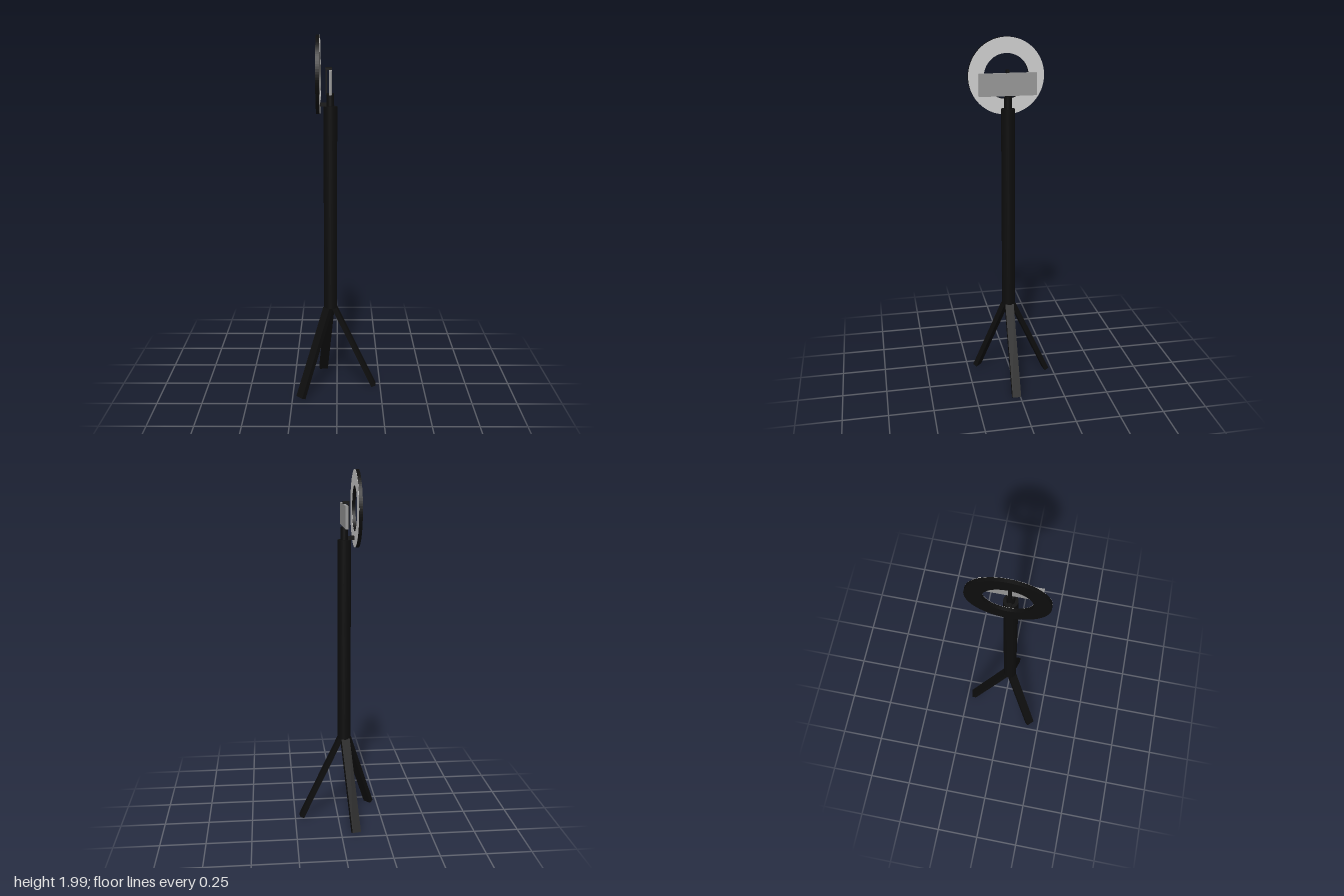
import * as THREE from 'three';

const AXIS_X = -0.036, AXIS_Z = 0.024;

export function createModel() {
  const model = new THREE.Group();
  const black = new THREE.MeshStandardMaterial({ color: 0x0d0d0d });
  const grey = new THREE.MeshStandardMaterial({ color: 0x959595 });
  const light = new THREE.MeshStandardMaterial({ color: 0xcccccc });

  const add = (name, geometry, material, x, y, z) => {
    const mesh = new THREE.Mesh(geometry, material);
    mesh.name = name;
    mesh.position.set(x, y, z);
    model.add(mesh);
    return mesh;
  };
  // Box given by its x and y extents, centred on the pole in z
  const box = (name, x0, x1, y0, y1, depth, material) =>
    add(name, new THREE.BoxGeometry(x1 - x0, y1 - y0, depth), material,
      (x0 + x1) / 2, (y0 + y1) / 2, AXIS_Z);

  // Pole and its thinner extension
  add('pole', new THREE.CylinderGeometry(0.037, 0.037, 1.133, 32), black, AXIS_X, 1.0635, AXIS_Z);
  add('poleExtension', new THREE.CylinderGeometry(0.021, 0.021, 0.1, 32), black, AXIS_X, 1.648, AXIS_Z);

  // Three flat legs, each from the pole's foot to its own point on the floor
  const up = new THREE.Vector3(0, 1, 0);
  const feet = [[0.212, 0.024], [-0.203, 0.19], [-0.083, -0.211]];
  for (const [fx, fz] of feet) {
    const out = new THREE.Vector3(fx - AXIS_X, 0, fz - AXIS_Z).normalize();
    const top = new THREE.Vector3(AXIS_X, 0.495, AXIS_Z).addScaledVector(out, 0.022);
    const foot = new THREE.Vector3(fx, 0.017, fz);
    const along = top.clone().sub(foot);
    const mid = top.clone().add(foot).multiplyScalar(0.5);
    const leg = add('leg', new THREE.BoxGeometry(0.027, along.length(), 0.049), black, mid.x, mid.y, mid.z);
    const y = along.normalize();
    const z = new THREE.Vector3().crossVectors(out, up).normalize();
    const x = new THREE.Vector3().crossVectors(y, z);
    leg.quaternion.setFromRotationMatrix(new THREE.Matrix4().makeBasis(x, y, z));
  }

  // Ring lamp: black housing with a pale luminous face towards +x
  const annulus = (depth) => {
    const shape = new THREE.Shape().absarc(0, 0, 0.205, 0, Math.PI * 2);
    shape.holes.push(new THREE.Path().absarc(0, 0, 0.121, 0, Math.PI * 2, true));
    return new THREE.ExtrudeGeometry(shape, { depth, bevelEnabled: false, curveSegments: 48 })
      .rotateY(Math.PI / 2);
  };
  add('ringHousing', annulus(0.019), black, -0.11, 1.795, AXIS_Z - 0.002);
  add('ringLightFace', annulus(0.001), light, -0.091, 1.795, AXIS_Z - 0.002);
  box('ringArm', -0.1, -0.04, 1.63, 1.65, 0.016, black);

  // Phone and the thin clamp that hooks over it
  box('phone', -0.041, -0.027, 1.7, 1.82, 0.31, grey);
  box('clampBack', -0.062, -0.054, 1.69, 1.834, 0.016, black);
  box('clampHook', -0.062, -0.027, 1.82, 1.834, 0.016, black);

  return model;
}
